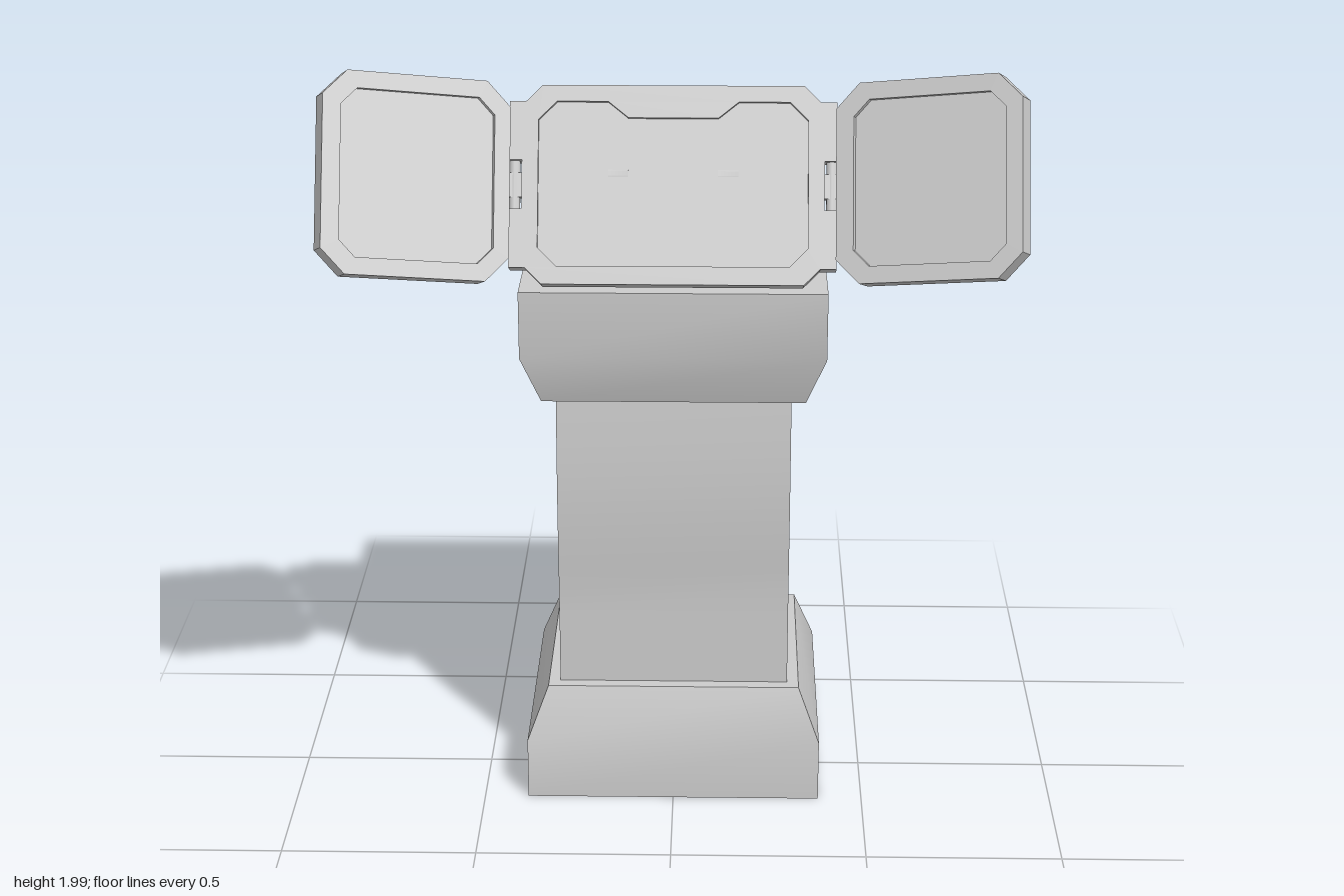
import * as THREE from 'three';
import { toCreasedNormals } from 'three/addons/utils/BufferGeometryUtils.js';

const grey = new THREE.MeshStandardMaterial({ color: 0xcccccc });

function add(parent, name, geometry) {
  const mesh = new THREE.Mesh(geometry, grey);
  mesh.name = name;
  parent.add(mesh);
  return mesh;
}

// Rectangular loft through levels of [y, half width, back z, front z]
function loft(levels) {
  const n = levels.length - 1;
  const geo = new THREE.BoxGeometry(1, 1, 1, 1, n, 1);
  const p = geo.attributes.position;
  for (let i = 0; i < p.count; i++) {
    const [y, w, back, front] = levels[Math.round((p.getY(i) + 0.5) * n)];
    p.setXYZ(i, Math.sign(p.getX(i)) * w, y, p.getZ(i) > 0 ? front : back);
  }
  return toCreasedNormals(geo, 0.6);
}

const points = (list) => list.map(([x, y]) => new THREE.Vector2(x, y));

// Rectangle with cut corners
function octagon(x0, x1, h, c) {
  return [[x0 + c, -h], [x1 - c, -h], [x1, -h + c], [x1, h - c],
    [x1 - c, h], [x0 + c, h], [x0, h - c], [x0, -h + c]];
}

function slab(outline, z0, z1, hole) {
  const shape = new THREE.Shape(points(outline));
  if (hole) shape.holes.push(new THREE.Path(points(hole)));
  const geo = new THREE.ExtrudeGeometry(shape, { depth: z1 - z0, bevelEnabled: false });
  return geo.translate(0, 0, z0);
}

// Display panel: core plate between a front and a back frame
function panel(name, outline, frontHole, backHole, z0, z1) {
  const g = new THREE.Group();
  const d = 0.014;
  g.name = name;
  add(g, 'panelCore', slab(outline, z0 + d, z1 - d));
  add(g, 'frontFrame', slab(outline, z1 - d, z1, frontHole));
  add(g, 'backFrame', slab(outline, z0, z0 + d, backHole));
  return g;
}

export function createModel() {
  const model = new THREE.Group();
  model.name = 'consolePedestal';

  // Pedestal
  add(model, 'base', loft([
    [0, 0.385, -0.475, 0.2], [0.165, 0.385, -0.475, 0.2], [0.305, 0.33, -0.427, 0.153]]));
  const shaft = [];
  for (let i = 0; i <= 12; i++) {
    const t = i / 12;
    const bulge = Math.sin(Math.PI * Math.max(0, (t - 0.33) / 0.67));
    shaft.push([0.305 + 0.805 * t, 0.3, -0.397, 0.12 + 0.014 * bulge]);
  }
  add(model, 'shaft', loft(shaft));
  add(model, 'cap', loft([
    [1.11, 0.335, -0.43, 0.155], [1.24, 0.385, -0.475, 0.2], [1.415, 0.385, -0.475, 0.2]]));
  add(model, 'capPlate', loft([[1.415, 0.33, -0.415, 0.14], [1.44, 0.28, -0.365, 0.09]]));

  // Post and the two arms that carry the panels
  add(model, 'post', loft([
    [1.44, 0.11, -0.04, 0.055], [1.735, 0.11, -0.04, 0.055], [1.752, 0.11, 0.0, 0.015]]));
  const r = 0.024, len = 0.135;
  const bar = new THREE.Shape();
  bar.absarc(0, 0, r, Math.PI / 2, Math.PI * 1.5, false);
  bar.absarc(len, 0, r, -Math.PI / 2, Math.PI / 2, false);
  const armGeo = toCreasedNormals(new THREE.ExtrudeGeometry(bar,
    { depth: 0.05, bevelEnabled: false, curveSegments: 6 }).translate(0, 0, -0.025), 0.7);
  for (const s of [-1, 1]) {
    const arm = add(model, 'arm', armGeo);
    arm.position.set(s * 0.135, 1.65, 0.025);
    arm.rotation.set(0, -Math.PI / 2, 0.42);
  }

  // Tilted display
  const display = new THREE.Group();
  display.name = 'display';
  display.position.set(0, 1.68, 0.167);
  display.rotation.x = -THREE.MathUtils.degToRad(25);
  model.add(display);

  // Centre panel, with side flanges notched for the hinges
  const half = [[0.32, -0.245], [0.36, -0.205], [0.4, -0.205], [0.4, -0.06], [0.37, -0.06],
    [0.37, 0.06], [0.4, 0.06], [0.4, 0.205], [0.36, 0.205], [0.32, 0.245]];
  const outline = [...half, ...half.map(([x, y]) => [-x, y]).reverse()];
  const screen = [[-0.285, -0.2], [0.285, -0.2], [0.33, -0.155], [0.33, 0.16], [0.285, 0.205],
    [0.16, 0.205], [0.11, 0.165], [-0.11, 0.165], [-0.16, 0.205], [-0.285, 0.205],
    [-0.33, 0.16], [-0.33, -0.155]];
  display.add(panel('centrePanel', outline, screen,
    octagon(-0.33, 0.33, 0.2, 0.045), -0.03, 0.03));

  // Wings and hinges
  for (const s of [-1, 1]) {
    const x0 = s > 0 ? 0 : -0.47, x1 = x0 + 0.47;
    const hole = octagon(x0 + 0.045, x1 - 0.04, 0.203, 0.04);
    const wing = panel(s > 0 ? 'leftWing' : 'rightWing',
      octagon(x0, x1, 0.245, 0.06), hole, hole, 0, 0.06);
    wing.position.x = s * 0.42;
    wing.rotation.y = -s * THREE.MathUtils.degToRad(23);
    display.add(wing);
    const barrel = add(display, 'hingeBarrel', new THREE.CylinderGeometry(0.014, 0.014, 0.12, 10));
    barrel.position.set(s * 0.388, 0, 0.005);
    for (const y of [-0.13, 0, 0.13]) {
      const leaf = add(display, 'hingeLeaf', new THREE.BoxGeometry(0.06, 0.06, 0.025));
      leaf.position.set(s * 0.4, y, 0.005);
    }
  }
  return model;
}
